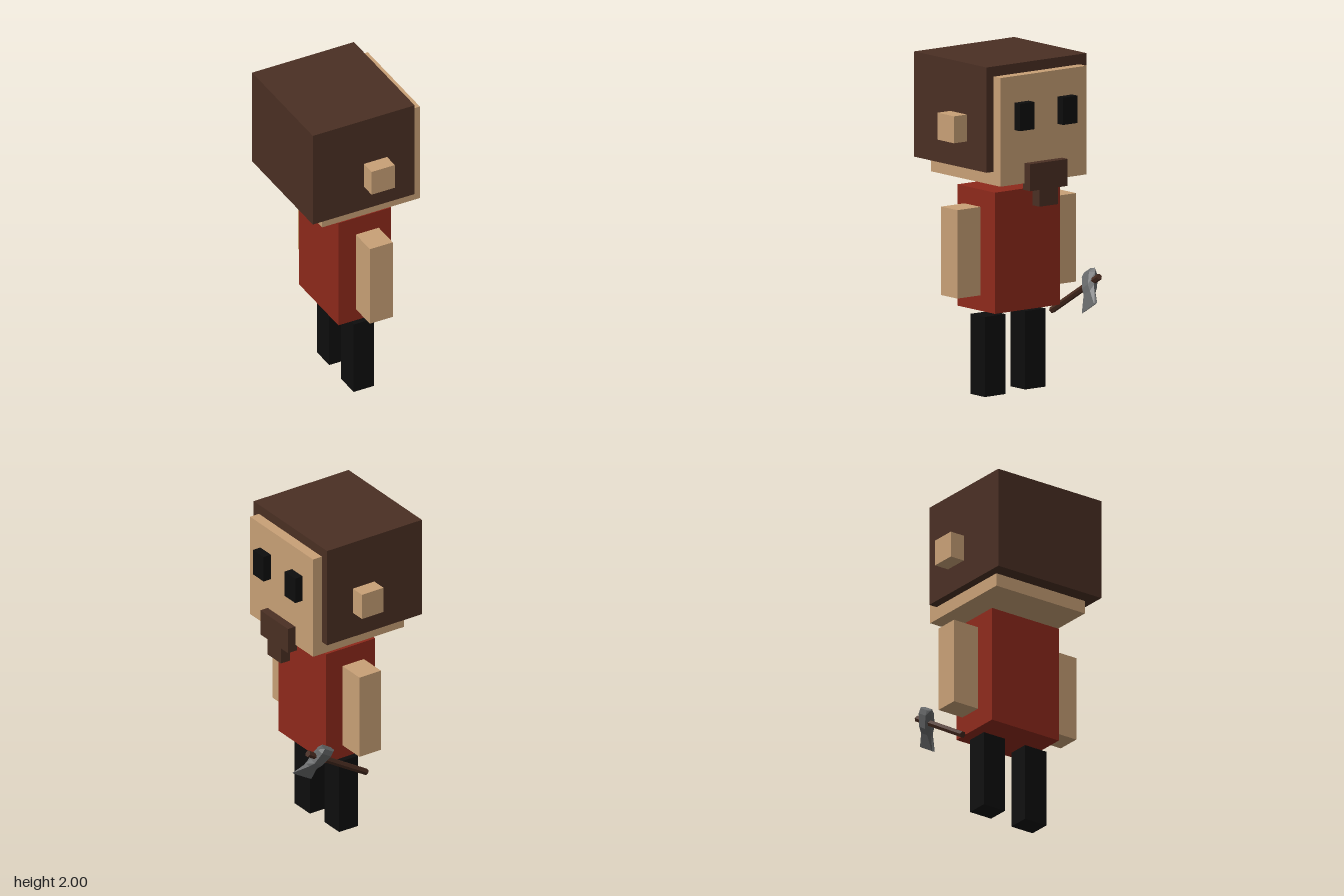
import * as THREE from 'three';

const mat = (color) => new THREE.MeshStandardMaterial({ color, flatShading: true });

// Box given by its extents on each axis
function box(name, material, [x0, x1], [y0, y1], [z0, z1]) {
  const mesh = new THREE.Mesh(new THREE.BoxGeometry(x1 - x0, y1 - y0, z1 - z0), material);
  mesh.position.set((x0 + x1) / 2, (y0 + y1) / 2, (z0 + z1) / 2);
  mesh.name = name;
  return mesh;
}

// Axe head: six-sided sections [along, halfWidth, halfThickness] lofted along z
function axeHeadGeometry(sections) {
  const pos = [], index = [], n = 6;
  for (const [z, a, t] of sections) {
    pos.push(a, 0, z, a * 0.65, t, z, -a * 0.65, t, z, -a, 0, z, -a * 0.65, -t, z, a * 0.65, -t, z);
  }
  const last = (sections.length - 1) * n;
  for (let s = 0; s < last; s += n) {
    for (let j = 0; j < n; j++) {
      const k = (j + 1) % n;
      index.push(s + j, s + k, s + n + k, s + j, s + n + k, s + n + j);
    }
  }
  for (let j = 1; j < n - 1; j++) {
    index.push(0, j + 1, j, last, last + j, last + j + 1);
  }
  const g = new THREE.BufferGeometry();
  g.setAttribute('position', new THREE.Float32BufferAttribute(pos, 3));
  g.setIndex(index);
  const flat = g.toNonIndexed();
  flat.computeVertexNormals();
  return flat;
}

function createAxe(wood, steel) {
  const axe = new THREE.Group();
  axe.name = 'axe';
  const start = new THREE.Vector3(-0.055, 0.435, -0.352);
  const end = new THREE.Vector3(0.37, 0.692, -0.366);
  const along = end.clone().sub(start);
  const length = along.length();
  along.normalize();

  // Six-sided handle
  const handle = new THREE.Mesh(new THREE.CylinderGeometry(0.02, 0.02, length, 6), wood);
  handle.name = 'axeHandle';
  handle.position.copy(start).add(end).multiplyScalar(0.5);
  handle.quaternion.setFromUnitVectors(new THREE.Vector3(0, 1, 0), along);

  // Head set across the handle, its edge swung down and inward
  const edgeDir = new THREE.Vector3(0.11, -0.192, 0.095);
  edgeDir.addScaledVector(along, -edgeDir.dot(along)).normalize();
  const side = new THREE.Vector3().crossVectors(edgeDir, along);
  const head = new THREE.Mesh(axeHeadGeometry([
    [-0.08, 0.054, 0.018],
    [-0.05, 0.058, 0.03],
    [0.03, 0.047, 0.033],
    [0.07, 0.05, 0.02],
    [0.165, 0.081, 0.002],
  ]), steel);
  head.name = 'axeHead';
  head.quaternion.setFromRotationMatrix(new THREE.Matrix4().makeBasis(along, side, edgeDir));
  head.position.set(0.285, 0.641, -0.362);
  axe.add(handle, head);
  return axe;
}

export function createModel() {
  const model = new THREE.Group();
  model.name = 'blockyWoodcutter';
  const hair = mat(0x4a2f23), skin = mat(0xc8a076), shirt = mat(0x8e291b);
  const black = mat(0x0d0d0d), wood = mat(0x472b20), steel = mat(0x686a6b);

  // Head and hair, the face looking along +x
  model.add(
    box('hair', hair, [-0.435, 0.24], [1.375, 2], [-0.376, 0.374]),
    box('head', skin, [-0.345, 0.303], [1.295, 1.94], [-0.323, 0.321]),
    box('moustache', hair, [0.29, 0.355], [1.255, 1.415], [-0.142, 0.14]),
    box('beard', hair, [0.29, 0.355], [1.155, 1.256], [-0.07, 0.07]),
    box('torso', shirt, [-0.195, 0.155], [0.51, 1.23], [-0.243, 0.243]),
  );

  // Paired parts on either side
  for (const s of [1, -1]) {
    const z = (a, b) => (s > 0 ? [a, b] : [-b, -a]);
    const which = s > 0 ? 'Front' : 'Back';
    model.add(
      box('ear' + which, skin, [-0.097, 0.057], [1.535, 1.695], z(0.31, 0.47)),
      box('eye' + which, black, [0.295, 0.355], [1.62, 1.782], z(0.108, 0.216)),
      box('arm' + which, skin, [-0.095, 0.057], [0.61, 1.135], z(0.271, 0.445)),
      box('leg' + which, black, [-0.088, 0.047], [s > 0 ? 0 : 0.01, 0.475],
        s > 0 ? [0.077, 0.232] : [-0.223, -0.07]),
    );
  }

  model.add(createAxe(wood, steel));
  return model;
}
